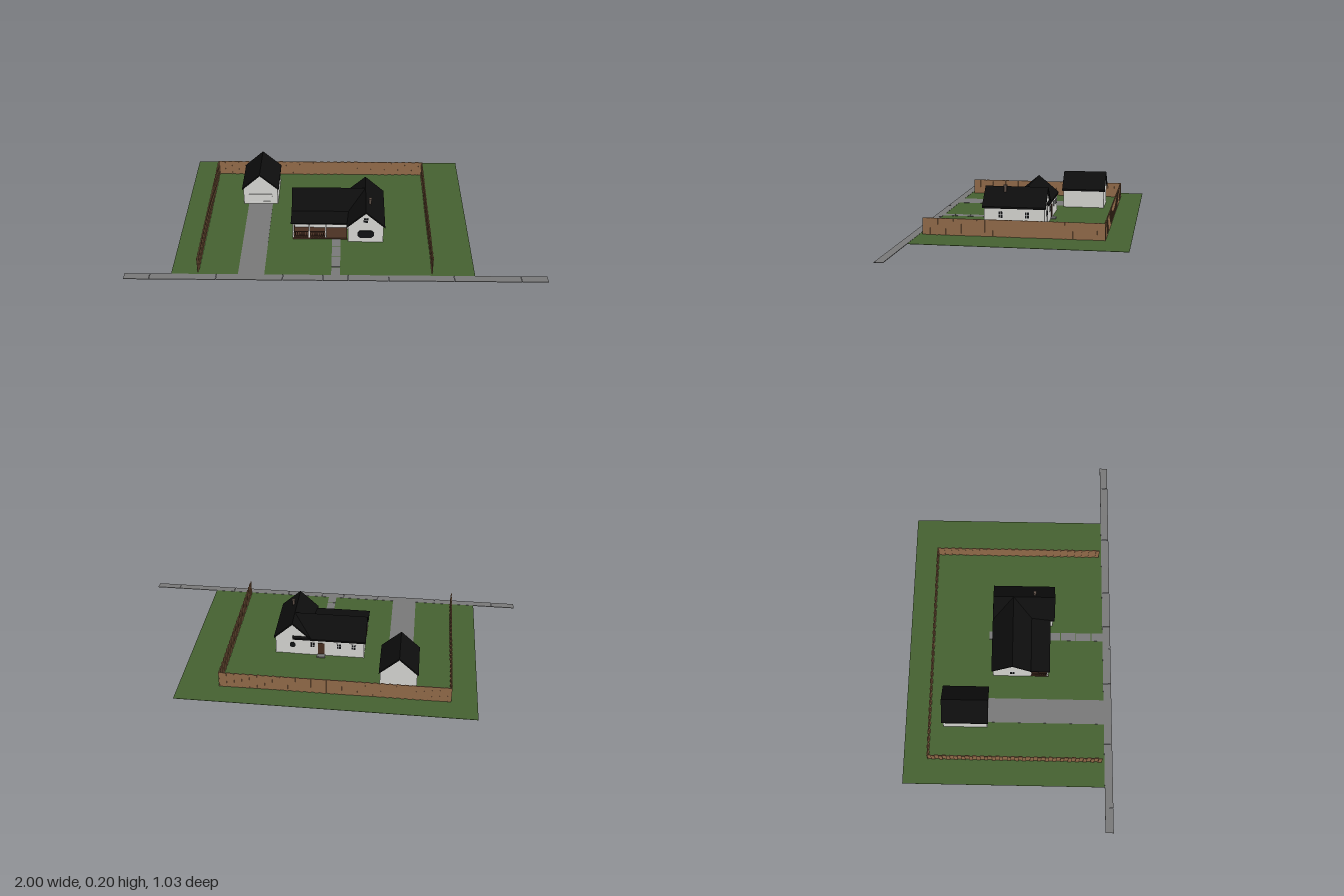
import * as THREE from 'three';

const mat = (name, color, opts = {}) => {
  const m = new THREE.MeshStandardMaterial({ color, ...opts });
  m.name = name;
  return m;
};

export function createModel() {
  const root = new THREE.Group();
  root.name = 'houseLot';
  const grass = mat('grass', 0x456030);
  const concrete = mat('concrete', 0x777777);
  const wall = mat('wall', 0xdcdcd8);
  const trim = mat('trim', 0xeeeeec);
  const roof = mat('roof', 0x0d0d0d);
  const glass = mat('glass', 0x101214);
  const wood = mat('fenceWood', 0x966e4c);
  const darkWood = mat('porchWood', 0x4a3023);
  const brick = mat('chimneyBrick', 0x5e5048);

  const group = (name, parent = root) => {
    const g = new THREE.Group();
    g.name = name;
    parent.add(g);
    return g;
  };
  const add = (parent, name, geo, material) => {
    const m = new THREE.Mesh(geo, material);
    m.name = name;
    parent.add(m);
    return m;
  };
  // box given by its limits on each axis
  const box = (parent, name, material, [x0, x1], [y0, y1], [z0, z1]) => {
    const m = add(parent, name, new THREE.BoxGeometry(x1 - x0, y1 - y0, z1 - z0), material);
    m.position.set((x0 + x1) / 2, (y0 + y1) / 2, (z0 + z1) / 2);
    return m;
  };
  const extrude = (pts, z0, z1) => {
    const shape = new THREE.Shape(pts.map(([x, y]) => new THREE.Vector2(x, y)));
    const geo = new THREE.ExtrudeGeometry(shape, { depth: z1 - z0, bevelEnabled: false });
    return geo.translate(0, 0, z0);
  };
  // pentagonal walls and a chevron roof, running along z from a to b
  const gabled = (parent, name, half, eave, peak, a, b, over = 0.008) => {
    const g = group(name, parent);
    const t = 0.009;
    const slope = (peak - eave) / half;
    const w = half - over;
    const top = peak - t * 0.6;
    const side = top - slope * w;
    add(g, 'walls', extrude([[-w, 0.002], [w, 0.002], [w, side], [0, top], [-w, side]], a + over, b - over), wall);
    add(g, 'roof', extrude([[-half, eave - t], [0, peak - t], [half, eave - t],
      [half, eave], [0, peak], [-half, eave]], a, b), roof);
    return g;
  };
  // framed window facing +z at the origin
  const windowPane = (parent, x, y, z, w, h, turn = 0) => {
    const g = group('window', parent);
    box(g, 'frame', trim, [-w / 2 - 0.003, w / 2 + 0.003], [-h / 2 - 0.003, h / 2 + 0.003], [-0.001, 0.001]);
    box(g, 'pane', glass, [-w / 2, w / 2], [-h / 2, h / 2], [0, 0.002]);
    box(g, 'mullion', trim, [-0.001, 0.001], [-h / 2, h / 2], [0, 0.003]);
    box(g, 'crossbar', trim, [-w / 2, w / 2], [-0.001, 0.001], [0, 0.003]);
    g.position.set(x, y, z);
    g.rotation.y = turn;
  };
  // window with clipped corners
  const clippedWindow = (parent, x, y, z, w, h, turn = 0) => {
    const a = w / 2, b = h / 2, c = h * 0.3;
    const m = add(parent, 'clippedWindow', extrude([[-a + c, -b], [a - c, -b], [a, -b + c], [a, b - c],
      [a - c, b], [-a + c, b], [-a, b - c], [-a, -b + c]], -0.001, 0.003), glass);
    m.position.set(x, y, z);
    m.rotation.y = turn;
  };

  // Ground
  box(root, 'lawn', grass, [-0.78, 0.66], [0.0005, 0.002], [-0.52, 0.475]);
  box(root, 'driveway', concrete, [-0.463, -0.338], [0, 0.003], [-0.115, 0.475]);
  const walk = group('sidewalk');
  const joints = [-1, -0.88, -0.565, -0.25, -0.06, 0.06, 0.25, 0.56, 0.875, 1];
  for (let i = 0; i < joints.length - 1; i++) {
    box(walk, 'slab', concrete, [joints[i] + (i ? 0.001 : 0), joints[i + 1] - (i < 8 ? 0.001 : 0)], [0, 0.003], [0.475, 0.515]);
  }
  const path = group('frontPath');
  [[0.19, 0.255], [0.26, 0.335], [0.338, 0.413], [0.418, 0.475]].forEach((z) =>
    box(path, 'slab', concrete, [-0.021, 0.021], [0, 0.003], z));

  // Fence of boards set alternately forward and back
  const fence = group('fence');
  const fenceRun = (name, length, x, z, turn) => {
    const g = group(name, fence);
    const n = Math.round(length / 0.0185);
    const pitch = length / n;
    for (let i = 0; i < n; i++) {
      const d = i % 2 ? 0.0015 : -0.0015;
      box(g, 'board', wood, [i * pitch, (i + 1) * pitch], [0.002, 0.082], [d - 0.0018, d + 0.0018]);
    }
    g.position.set(x, 0, z);
    g.rotation.y = turn;
  };
  fenceRun('backFence', 1.115, -0.655, -0.398, 0);
  fenceRun('rightFence', 0.86, -0.653, 0.46, Math.PI / 2);
  fenceRun('leftFence', 0.86, 0.459, 0.46, Math.PI / 2);

  // Garage
  const garage = gabled(root, 'garage', 0.095, 0.1, 0.186, -0.335, -0.104, 0.006);
  garage.position.x = -0.4;
  box(garage, 'garageDoor', wall, [-0.06, 0.06], [0.003, 0.062], [-0.111, -0.108]);
  for (const y of [0.018, 0.033, 0.048]) {
    box(garage, 'doorSeam', trim, [-0.058, 0.058], [y - 0.0005, y + 0.0005], [-0.109, -0.1075]);
  }

  // House: full-depth wing with a lower body crossing into it
  const house = group('house');
  const wing = gabled(house, 'wing', 0.095, 0.1, 0.187, -0.093, 0.222);
  wing.position.x = 0.145;
  const body = gabled(house, 'mainBody', 0.105, 0.1, 0.187, -0.225, 0.145);
  body.rotation.y = Math.PI / 2;
  body.position.z = 0.01;

  // Windows and doors
  clippedWindow(house, 0.145, 0.05, 0.214, 0.082, 0.044);
  windowPane(house, 0.145, 0.133, 0.2145, 0.022, 0.024);
  clippedWindow(house, 0.145, 0.055, -0.085, 0.03, 0.03, Math.PI);
  for (const x of [-0.175, -0.095]) windowPane(house, x, 0.067, 0.1075, 0.022, 0.032);
  for (const x of [-0.165, -0.09, 0.045]) windowPane(house, x, 0.062, -0.0875, 0.02, 0.026, Math.PI);
  for (const z of [0, 0.13]) windowPane(house, 0.2325, 0.06, z, 0.02, 0.03, Math.PI / 2);
  windowPane(house, -0.2175, 0.06, 0.01, 0.022, 0.03, -Math.PI / 2);
  box(house, 'frontDoor', trim, [-0.018, 0.018], [0.012, 0.082], [0.106, 0.11]);
  box(house, 'doorKnob', glass, [0.011, 0.014], [0.043, 0.046], [0.11, 0.112]);
  box(house, 'backDoor', darkWood, [-0.016, 0.016], [0.01, 0.075], [-0.09, -0.086]);
  box(house, 'backStep', concrete, [-0.021, 0.021], [0, 0.008], [-0.112, -0.085]);

  // Porch
  const porch = group('porch', house);
  box(porch, 'deck', darkWood, [-0.217, 0.053], [0.002, 0.01], [0.1, 0.195]);
  const cover = add(porch, 'porchRoof', extrude([[-0.2, 0.097], [-0.1, 0.097], [-0.1, 0.109], [-0.2, 0.102]], -0.225, 0.06), roof);
  cover.rotation.y = Math.PI / 2;
  box(porch, 'frontBeam', trim, [-0.217, 0.053], [0.09, 0.097], [0.186, 0.193]);
  box(porch, 'sideBeam', trim, [-0.217, -0.21], [0.09, 0.097], [0.107, 0.193]);
  for (const x of [-0.214, -0.135, -0.053]) {
    box(porch, 'post', trim, [x - 0.0035, x + 0.0035], [0.01, 0.092], [0.186, 0.193]);
  }
  for (const y of [0.015, 0.042]) {
    box(porch, 'frontRail', darkWood, [-0.214, -0.053], [y, y + 0.004], [0.187, 0.192]);
    box(porch, 'sideRail', darkWood, [-0.2165, -0.2115], [y, y + 0.004], [0.107, 0.192]);
  }
  for (let i = 1; i < 15; i++) {
    const x = -0.214 + i * 0.0107;
    box(porch, 'baluster', darkWood, [x - 0.002, x + 0.002], [0.01, 0.043], [0.1875, 0.1915]);
  }
  for (let i = 0; i < 7; i++) {
    const z = 0.115 + i * 0.0107;
    box(porch, 'baluster', darkWood, [-0.216, -0.212], [0.01, 0.043], [z - 0.002, z + 0.002]);
  }

  // Chimney
  const chimney = group('chimney', house);
  box(chimney, 'stack', brick, [0.161, 0.173], [0.145, 0.192], [0.112, 0.124]);
  box(chimney, 'cap', brick, [0.159, 0.175], [0.191, 0.198], [0.11, 0.126]);

  return root;
}
